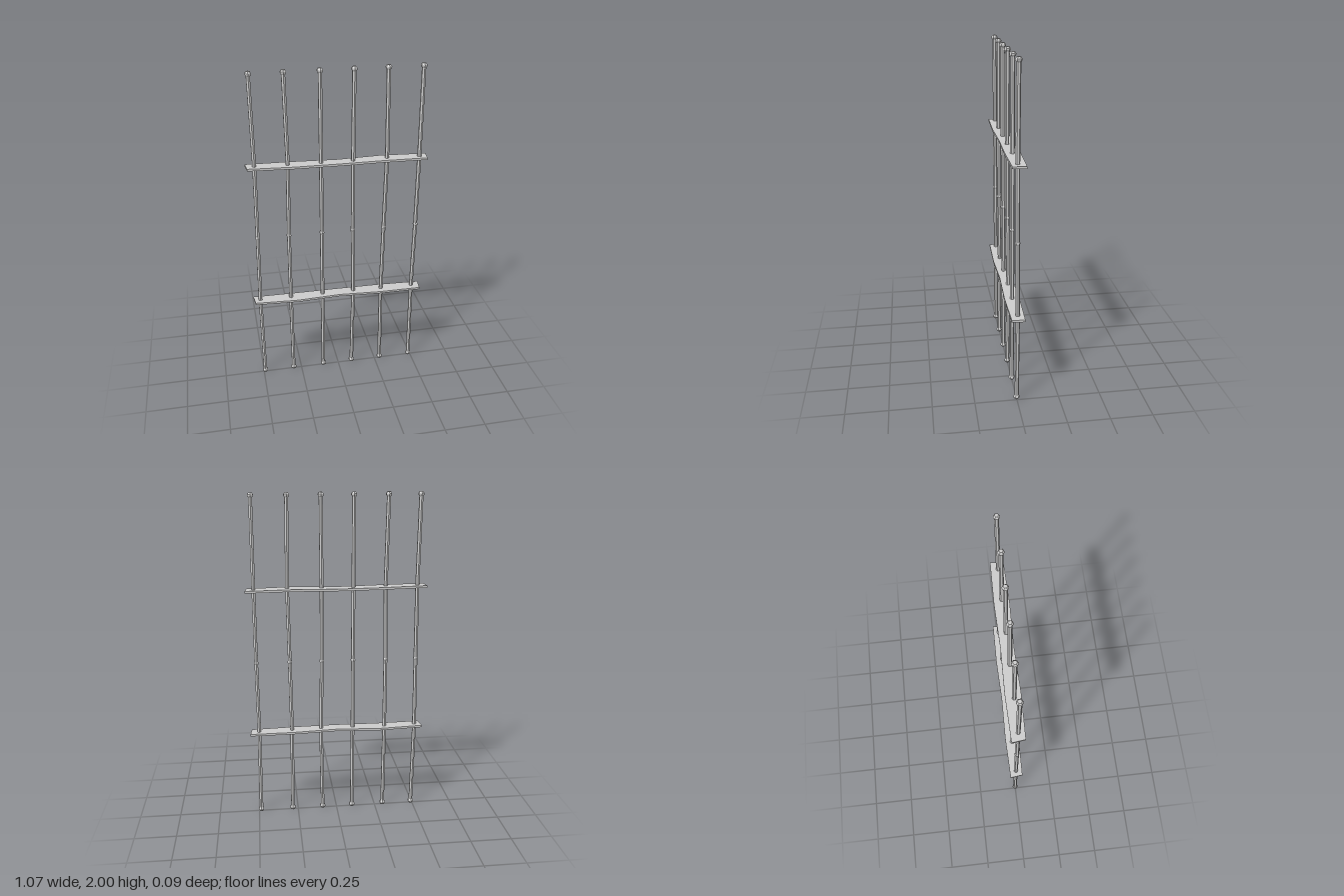
import * as THREE from 'three';

const material = new THREE.MeshStandardMaterial({ color: 0xcccccc, flatShading: true });

// Piecewise linear interpolation through [position, value] pairs
function lerpAt(points, t) {
  for (let i = 1; i < points.length; i++) {
    const [a, va] = points[i - 1], [b, vb] = points[i];
    if (t <= b) return THREE.MathUtils.mapLinear(t, a, b, va, vb);
  }
  return points[points.length - 1][1];
}

// Six-sided bar with end caps and a small collar, bent slightly at the rails
function makeBar(x, lowBend, highBend, zBend) {
  const r = 0.0125;
  const profile = [
    [0, 0], [0.011, 0], [0.0185, 0.01], [0.0185, 0.018], [r, 0.027],
    [r, 0.54], [r, 0.992], [0.0155, 0.997], [0.0155, 1.003], [r, 1.008],
    [r, 1.46], [r, 1.973], [0.0185, 1.982], [0.0185, 1.99], [0.011, 2], [0, 2],
  ].map(([px, py]) => new THREE.Vector2(px, py));
  const geometry = new THREE.LatheGeometry(profile, 6);
  const bendX = [[0, 0], [0.54, lowBend], [1, 0], [1.46, highBend], [2, 0]];
  const bendZ = [[0, 0], [0.54, -zBend], [1, 0], [1.46, zBend * 0.5], [2, 0]];
  const p = geometry.attributes.position;
  for (let i = 0; i < p.count; i++) {
    const y = p.getY(i);
    p.setX(i, p.getX(i) + lerpAt(bendX, y));
    p.setZ(i, p.getZ(i) + lerpAt(bendZ, y));
  }
  geometry.computeVertexNormals();
  const bar = new THREE.Mesh(geometry, material);
  bar.position.x = x;
  bar.name = 'bar';
  return bar;
}

// Flat hammered rail: slightly wavy in width and height, with slanted ends
function makeRail(heights, backEdge, frontEdge) {
  const geometry = new THREE.BoxGeometry(1.064, 0.013, 2, 4, 1, 1);
  const p = geometry.attributes.position;
  for (let i = 0; i < p.count; i++) {
    const x = p.getX(i), front = p.getZ(i) > 0;
    p.setY(i, p.getY(i) + lerpAt(heights, x));
    p.setZ(i, lerpAt(front ? frontEdge : backEdge, x));
    p.setX(i, x * (front ? 0.992 : 1.009));
  }
  geometry.computeVertexNormals();
  const rail = new THREE.Mesh(geometry, material);
  rail.name = 'rail';
  return rail;
}

export function createModel() {
  const group = new THREE.Group();
  group.name = 'barGrille';

  // Vertical bars: x, low bend, high bend, depth bend
  const bars = [
    [-0.49, -0.006, 0.005, 0.002], [-0.302, -0.001, 0.008, 0.004],
    [-0.101, 0, 0, 0.003], [0.09, 0.008, -0.002, 0.004],
    [0.284, -0.005, 0.007, 0.002], [0.486, -0.004, 0.001, 0.004],
  ];
  bars.forEach((b) => group.add(makeBar(...b)));

  // Cross rails
  const back = [[-0.532, -0.04], [-0.266, -0.046], [0, -0.039], [0.266, -0.046], [0.532, -0.04]];
  const front = [[-0.532, 0.037], [-0.266, 0.043], [0, 0.036], [0.266, 0.043], [0.532, 0.037]];
  const upper = makeRail([[-0.532, 1.452], [-0.266, 1.447], [0, 1.443], [0.266, 1.447], [0.532, 1.442]], back, front);
  upper.name = 'upperRail';
  const lower = makeRail([[-0.532, 0.557], [-0.266, 0.551], [0, 0.556], [0.266, 0.55], [0.532, 0.546]], back, front);
  lower.name = 'lowerRail';
  group.add(upper, lower);
  return group;
}
